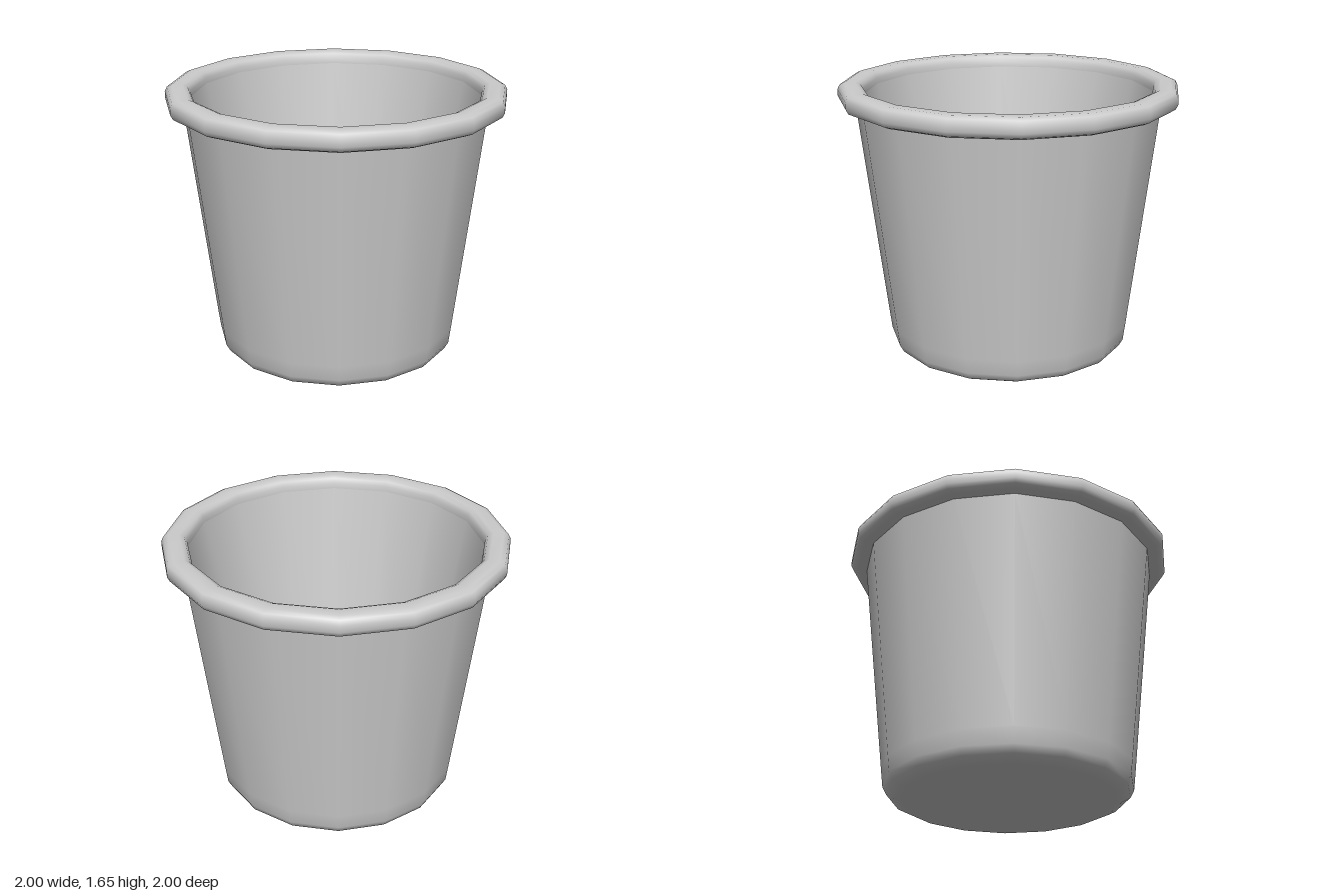
import * as THREE from 'three';

const SIDES = 16;
const TURN = THREE.MathUtils.degToRad(10.65); // puts a flat side towards each axis

export function createModel() {
  const pot = new THREE.Group();
  pot.name = 'pot';
  const material = new THREE.MeshStandardMaterial({ color: 0xcccccc });

  // Each part is a 16-sided turned profile of [radius, height] points
  const turned = (name, profile) => {
    const points = profile.map(([r, y]) => new THREE.Vector2(r, y));
    const mesh = new THREE.Mesh(new THREE.LatheGeometry(points, SIDES, TURN), material);
    mesh.name = name;
    pot.add(mesh);
  };

  // Tapered outside with a softened bottom edge
  turned('outerBody', [
    [0, 0], [0.64, 0], [0.67, 0.004], [0.72, 0.03], [0.744, 0.075],
    [0.756, 0.17], [0.917, 1.54],
  ]);

  // Rolled rim
  turned('rim', [
    [0.9, 1.535], [0.975, 1.535], [1.004, 1.548], [1.0175, 1.575], [1.0175, 1.615],
    [1.004, 1.642], [0.975, 1.655], [0.912, 1.655], [0.882, 1.642],
    [0.868, 1.615], [0.866, 1.58],
  ]);

  // Inside wall, running down to the floor
  turned('innerWall', [[0.866, 1.58], [0.605, 0.1]]);
  turned('innerFloor', [[0.605, 0.1], [0, 0.1]]);

  return pot;
}
